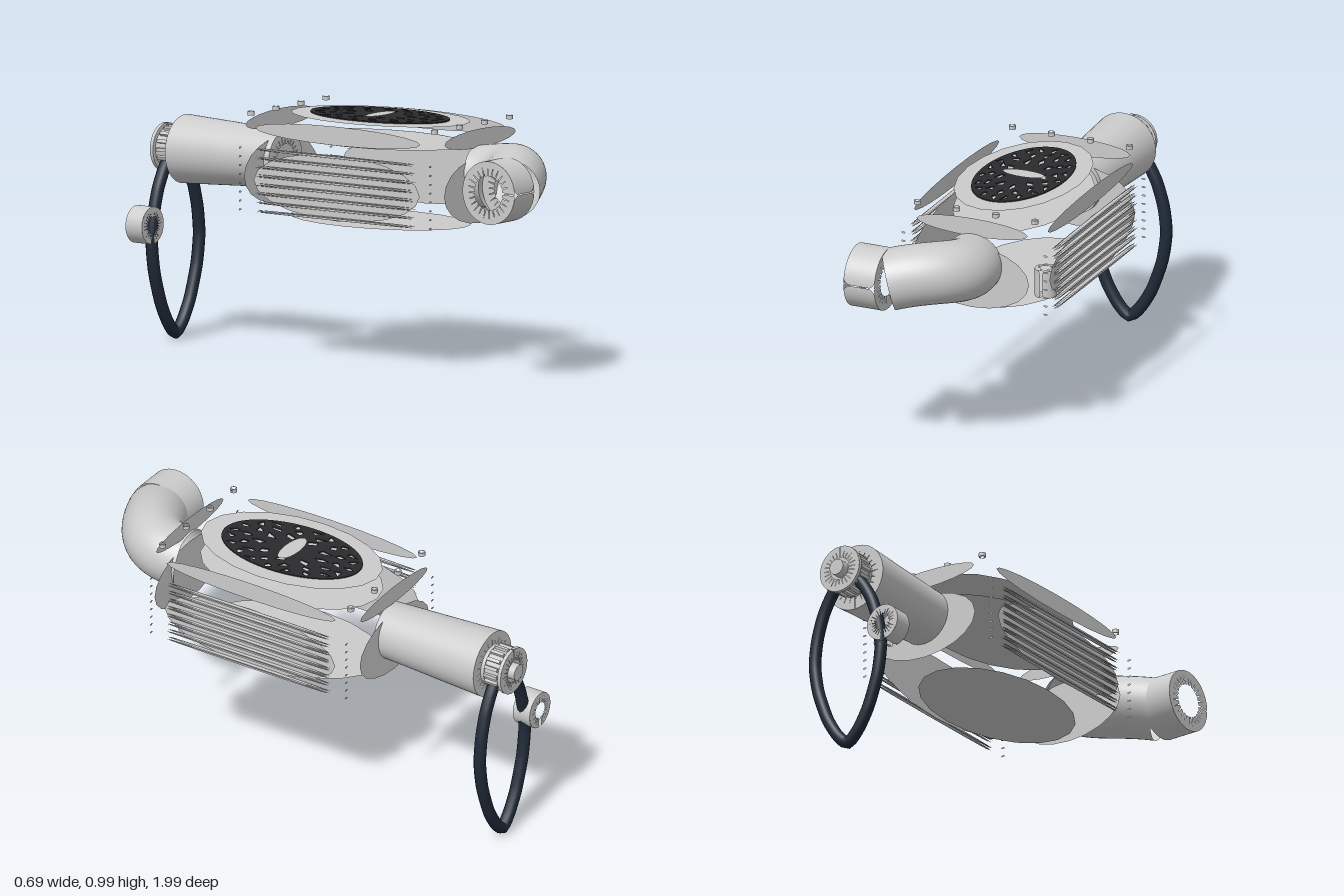
import * as THREE from 'three';

const mat = (color) => new THREE.MeshStandardMaterial({ color, side: THREE.DoubleSide });
const grey = mat(0xcccccc);
const outerGrey = new THREE.MeshStandardMaterial({ color: 0xcccccc });
const ropeMat = mat(0x1f2937);
const grillMat = mat(0x2b2b2e);

const CX = 0.02, CZ = 0.079; // centre of the housing

export function createModel() {
  const model = new THREE.Group();

  const add = (name, geometry, pos = [0, 0, 0], rot = [0, 0, 0], material = grey, parent = model) => {
    const m = new THREE.Mesh(geometry, material);
    m.name = name;
    m.position.set(...pos);
    m.rotation.set(...rot);
    parent.add(m);
    return m;
  };

  const oval = (rx, ry, seg = 20) => new THREE.CircleGeometry(1, seg).scale(rx, ry, 1);

  // Box whose six faces are separate floating ovals, each a fixed share r of the half box size h
  const ovalBox = (name, pos, r) => {
    const h = r.map((v) => v / 0.83);
    const g = new THREE.Group();
    g.name = name;
    g.position.set(...pos);
    for (const s of [-1, 1]) {
      add('endPanel', oval(r[0], r[1]), [0, 0, s * h[2]], [0, s < 0 ? Math.PI : 0, 0], grey, g);
      add('sidePanel', oval(r[2], r[1]), [s * h[0], 0, 0], [0, s * Math.PI / 2, 0], grey, g);
      add('flatPanel', oval(r[0], r[2]), [0, s * h[1], 0], [-s * Math.PI / 2, 0, 0], grey, g);
    }
    model.add(g);
  };

  // Ring outline with narrow radial slits around its bore and a gap
  const slitRing = (r, bore, gap = 0.03, gapAngle = -Math.PI / 2, slits = 24) => {
    const shape = new THREE.Shape();
    const start = gapAngle + gap / 2, span = Math.PI * 2 - gap;
    const at = (rad, t) => [rad * Math.cos(start + span * t), rad * Math.sin(start + span * t)];
    shape.moveTo(...at(r, 0));
    for (let i = 1; i <= 48; i++) shape.lineTo(...at(r, i / 48));
    for (let i = slits; i > 0; i--) {
      shape.lineTo(...at(bore, i / slits));
      shape.lineTo(...at(bore, (i - 0.7) / slits));
      shape.lineTo(...at(r * 0.83, (i - 0.85) / slits));
      shape.lineTo(...at(bore, (i - 0.99) / slits));
    }
    shape.closePath();
    return new THREE.ShapeGeometry(shape);
  };

  // Hollow drum: two slit rings and an outer wall whose corners round off at the gap
  const drum = (name, r, bore, length, gap, gapAngle, pos, rot) => {
    const g = new THREE.Group();
    g.name = name;
    g.position.set(...pos);
    g.rotation.set(...rot);
    const span = Math.PI * 2 - gap;
    const wall = new THREE.CylinderGeometry(r, r, length, 96, 1, true, gapAngle + gap / 2 + Math.PI / 2, span);
    const p = wall.attributes.position, uv = wall.attributes.uv;
    for (let i = 0; i < p.count; i++) {
      const d = Math.min(uv.getX(i), 1 - uv.getX(i)) * span / 0.2; // distance from the gap
      if (d < 1) p.setY(i, p.getY(i) * (1 - 0.3 * (1 - d) ** 2));
    }
    add('wall', wall.rotateX(Math.PI / 2), [0, 0, 0], [0, 0, 0], outerGrey, g);
    for (const s of [-1, 1]) add('slitRing', slitRing(r, bore, gap, gapAngle), [0, 0, s * length / 2], [0, 0, 0], grey, g);
    model.add(g);
  };

  // Housing and lid
  ovalBox('housing', [CX, 0.731, CZ], [0.25, 0.133, 0.405]);
  ovalBox('lid', [CX, 0.938, CZ], [0.243, 0.038, 0.403]);

  // Side louvres
  for (const s of [-1, 1]) {
    for (let i = 0; i < 8; i++) {
      ovalBox('louvre', [CX + s * 0.311, 0.608 + i * 0.0355, CZ], [0.009, 0.004, 0.385]);
    }
  }

  // Lid bolts
  for (const z of [-0.37, 0.525]) {
    for (let i = 0; i < 4; i++) {
      drum('bolt', 0.014, 0.008, 0.016, 0.03, 0, [-0.237 + i * 0.171, 0.989, z], [-Math.PI / 2, 0, 0]);
    }
  }

  // Dark oval grill pierced by rings of slanted slots
  const grill = new THREE.Shape();
  grill.absellipse(0, 0, 0.178, 0.315, 0, Math.PI * 2);
  [[0.36, 0.58, 9], [0.6, 0.77, 14], [0.79, 0.95, 20]].forEach(([a, b, n], ring) => {
    for (let i = 0; i < n; i++) {
      const t = ((i + ring * 0.4) / n) * Math.PI * 2;
      const w = 1.7 / n, lean = (i % 3 - 1) * 0.1;
      const p = (rad, ang) => new THREE.Vector2(0.178 * rad * Math.cos(ang), 0.315 * rad * Math.sin(ang));
      grill.holes.push(new THREE.Path([p(a, t), p((a + b) / 2, t + w), p(b, t + lean), p((a + b) / 2, t - w * 0.5)]));
    }
  });
  add('grill', new THREE.ExtrudeGeometry(grill, { depth: 0.005, bevelEnabled: false, curveSegments: 40 }),
    [CX, 0.986, 0.077], [-Math.PI / 2, 0, 0], grillMat);
  add('grillBadge', oval(0.09, 0.034, 24), [CX, 0.994, 0.077], [-Math.PI / 2, 0, 0]);

  // Front elbow pipe and its end collar
  const bend = new THREE.CubicBezierCurve3(
    new THREE.Vector3(0.023, 0.785, 0.572), new THREE.Vector3(0.07, 0.805, 0.74),
    new THREE.Vector3(-0.04, 0.828, 0.79), new THREE.Vector3(-0.205, 0.785, 0.865));
  const elbow = new THREE.TubeGeometry(bend, 32, 0.125, 40, false);
  // square the mouth off so that it faces straight back
  const ep = elbow.attributes.position;
  for (let i = 0; i <= 40; i++) ep.setZ(i, 0.572 - (ep.getY(i) - 0.785) * 0.14);
  add('elbowPipe', elbow);
  drum('elbowCollar', 0.127, 0.068, 0.135, 0.03, 0, [-0.278, 0.786, 0.866], [0, -Math.PI / 2, 0]);

  // Rear tapered pipe with slit end rings
  const hubY = 0.773;
  add('rearPipe', new THREE.CylinderGeometry(0.115, 0.138, 0.49, 48, 1, true), [CX, hubY, -0.63], [Math.PI / 2, 0, 0]);
  add('rearPipeFrontRing', slitRing(0.115, 0.06), [CX, hubY, -0.385]);
  add('rearPipeBackRing', slitRing(0.138, 0.06), [CX, hubY, -0.875], [0, Math.PI, 0]);

  // Rear hub: spool with flanges, ribs and a knob
  const disc = (name, r, z0, z1) =>
    add(name, new THREE.CylinderGeometry(r, r, z1 - z0, 40), [CX, hubY, (z0 + z1) / 2], [Math.PI / 2, 0, 0]);
  disc('hubFlange', 0.085, -0.89, -0.875);
  disc('hubCore', 0.08, -0.965, -0.885);
  drum('hubFlange', 0.097, 0.045, 0.015, 0.03, Math.PI / 2, [CX, hubY, -0.97], [0, 0, 0]);
  disc('knob', 0.033, -1.0, -0.965);
  for (let i = 0; i < 16; i++) {
    const t = (i / 16) * Math.PI * 2;
    add('hubRib', new THREE.BoxGeometry(0.012, 0.014, 0.06),
      [CX + 0.086 * Math.cos(t), hubY + 0.086 * Math.sin(t), -0.922], [0, 0, t]);
  }

  // Hanging loop: mirrored sides meeting at a pointed tip
  const half = [[0.045, 0.74], [0.083, 0.69], [0.12, 0.62], [0.15, 0.52], [0.162, 0.41], [0.145, 0.29], [0.1, 0.16], [0.05, 0.075]];
  const loop = [...half, [0, 0.03], ...half.map(([x, y]) => [-x, y]).reverse()];
  const loopPath = new THREE.CatmullRomCurve3(
    loop.map(([x, y]) => new THREE.Vector3(CX + x, y, -0.922)), false, 'catmullrom', 0.35);
  add('hangingLoop', new THREE.TubeGeometry(loopPath, 80, 0.025, 12, false), [0, 0, 0], [0, 0, 0], ropeMat);

  // Ring on the loop and the small upright spout
  drum('loopRing', 0.075, 0.033, 0.08, 0.25, -Math.PI / 2, [-0.183, 0.487, -0.928], [0, 0, 0]);
  drum('spout', 0.044, 0.022, 0.115, 0.2, -Math.PI / 2, [0.267, 0.69, 0.402], [-Math.PI / 2, 0, 0]);

  return model;
}
